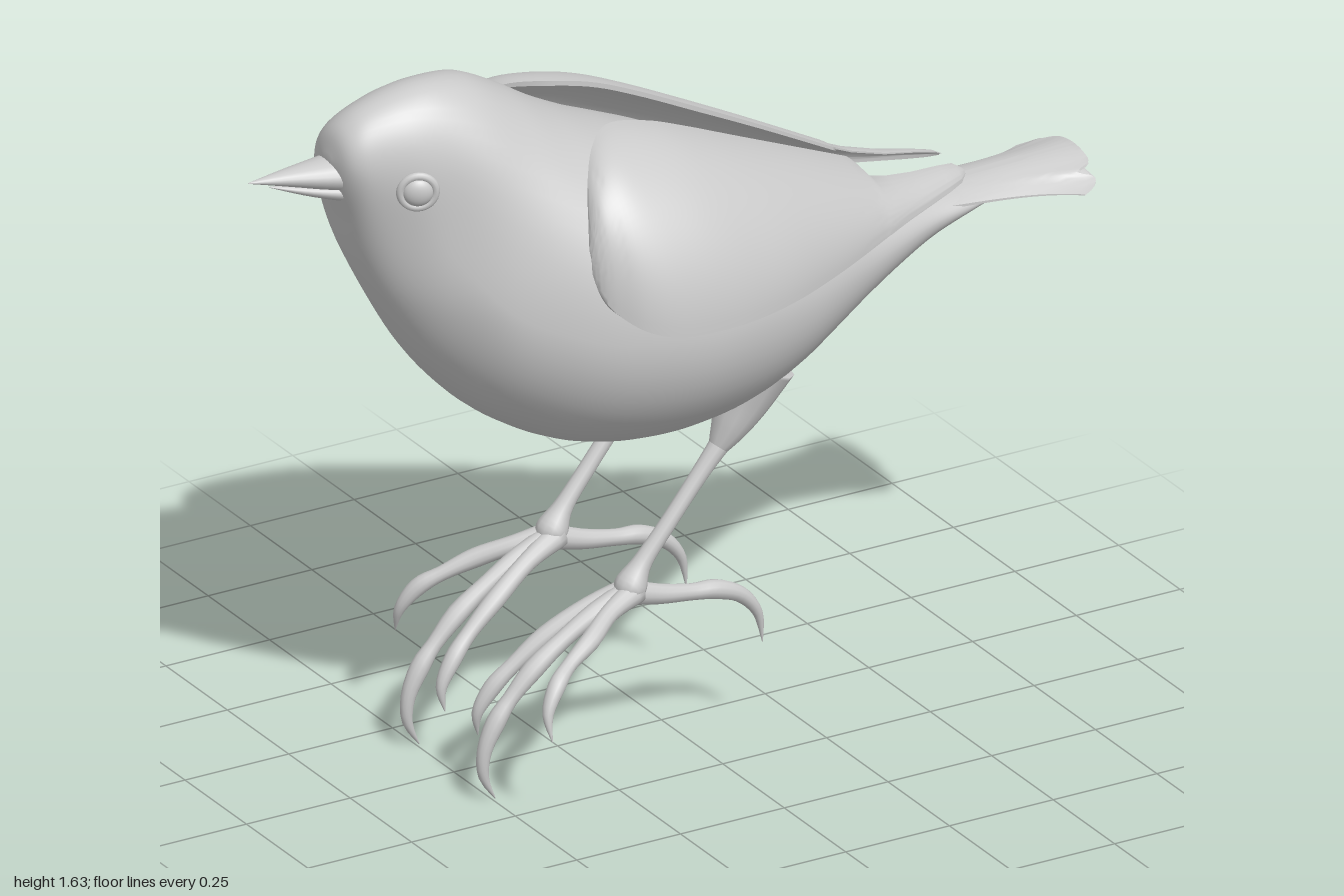
import * as THREE from 'three';
import { toCreasedNormals } from 'three/addons/utils/BufferGeometryUtils.js';

const material = new THREE.MeshStandardMaterial({ color: 0xcccccc });

// Resample a table of rows with a smooth curve through every column
function smooth(rows, n) {
  const cols = rows[0].map((_, k) =>
    new THREE.SplineCurve(rows.map((r, i) => new THREE.Vector2(i, r[k]))));
  return Array.from({ length: n + 1 }, (_, i) => cols.map((c) => c.getPoint(i / n).y));
}

// Skin closed rings of [x, y, z] points and cap both ends
function loft(rings) {
  const n = rings[0].length, last = rings.length - 1, index = [];
  const center = (ring) => [0, 1, 2].map((k) => ring.reduce((s, p) => s + p[k], 0) / n);
  const points = [...rings.flat(), center(rings[0]), center(rings[last])];
  const c0 = points.length - 2, c1 = c0 + 1;
  for (let j = 0; j < n; j++) {
    const k = (j + 1) % n;
    for (let i = 0; i < last; i++) {
      const a = i * n + j, b = i * n + k;
      index.push(a, b, a + n, b, b + n, a + n);
    }
    index.push(c0, k, j, c1, last * n + j, last * n + k);
  }
  const g = new THREE.BufferGeometry();
  g.setAttribute('position', new THREE.Float32BufferAttribute(points.flat(), 3));
  g.setIndex(index);
  g.computeVertexNormals();
  return g;
}

const mirrorRings = (rings) => rings.map((r) => r.map(([x, y, z]) => [x, y, -z]).reverse());

// Rings of a round limb along rows of [x, y, z, radius]
function limbRings(rows, n = 24, sides = 12) {
  const s = smooth(rows, n);
  const pos = s.map((r) => new THREE.Vector3(r[0], r[1], r[2]));
  return s.map((r, i) => {
    const t = pos[Math.min(i + 1, n)].clone().sub(pos[Math.max(i - 1, 0)]).normalize();
    const a = new THREE.Vector3(0, 0, 1).addScaledVector(t, -t.z).normalize();
    const b = t.clone().cross(a);
    return Array.from({ length: sides }, (_, j) => {
      const q = (j / sides) * Math.PI * 2, rad = Math.max(r[3], 0.001);
      return pos[i].clone().addScaledVector(a, rad * Math.cos(q))
        .addScaledVector(b, rad * Math.sin(q)).toArray();
    });
  });
}

// Head and trunk: x, top, bottom, half width, height of widest point
function bodyRings() {
  const rows = [
    [-0.822, 1.505, 1.485, 0.015, 1.495], [-0.812, 1.55, 1.425, 0.06, 1.49],
    [-0.79, 1.58, 1.355, 0.09, 1.47], [-0.75, 1.605, 1.24, 0.115, 1.43],
    [-0.68, 1.627, 1.1, 0.148, 1.38], [-0.6, 1.635, 0.975, 0.19, 1.27],
    [-0.5, 1.615, 0.865, 0.255, 1.15], [-0.4, 1.56, 0.792, 0.305, 1.1],
    [-0.3, 1.495, 0.745, 0.345, 1.07], [-0.2, 1.44, 0.722, 0.37, 1.06],
    [-0.1, 1.395, 0.717, 0.38, 1.05], [0, 1.35, 0.725, 0.375, 1.05],
    [0.1, 1.3, 0.747, 0.35, 1.04], [0.2, 1.25, 0.787, 0.31, 1.03],
    [0.3, 1.2, 0.84, 0.26, 1.03], [0.4, 1.15, 0.892, 0.205, 1.03],
    [0.5, 1.115, 0.938, 0.155, 1.035], [0.6, 1.09, 0.978, 0.11, 1.04],
    [0.7, 1.078, 1.015, 0.085, 1.045], [0.8, 1.072, 1.045, 0.06, 1.055],
  ];
  return smooth(rows, 90).map(([x, top, bottom, w, mid]) =>
    Array.from({ length: 56 }, (_, j) => {
      const q = (j / 56) * Math.PI * 2, c = Math.cos(q);
      let y = mid + c * (c > 0 ? top - mid : mid - bottom), z = w * Math.sin(q);
      // the head leans slightly to one side
      const lean = THREE.MathUtils.smoothstep(-x, 0.3, 0.62) * THREE.MathUtils.smoothstep(y, 1.15, 1.5);
      z += lean * (0.015 + 0.2 * (y - 1.45));
      return [x, y, z];
    }));
}

// Folded wing shell: x, top y, inner z, bottom y, outer z
function wingRings() {
  const shoulder = smooth([
    [-0.357, 1.29, 0.31, 1.24, 0.325], [-0.345, 1.35, 0.285, 1.19, 0.35],
    [-0.32, 1.41, 0.24, 1.155, 0.375], [-0.27, 1.455, 0.175, 1.12, 0.408],
    [-0.2, 1.467, 0.12, 1.1, 0.427], [-0.1, 1.445, 0.108, 1.093, 0.427],
    [0, 1.405, 0.1, 1.09, 0.41], [0.12, 1.35, 0.085, 1.09, 0.37],
    [0.27, 1.28, 0.06, 1.09, 0.295], [0.43, 1.203, 0.025, 1.093, 0.205],
  ], 44);
  const feathers = [
    [0.437, 1.198, 0.03, 1.093, 0.202], [0.45, 1.178, 0.085, 1.094, 0.195],
    [0.5, 1.16, 0.07, 1.096, 0.168], [0.57, 1.145, 0.053, 1.098, 0.133],
    [0.64, 1.137, 0.04, 1.1, 0.098], [0.68, 1.13, 0.032, 1.103, 0.076],
    [0.7, 1.118, 0.04, 1.11, 0.055],
  ];
  const n = 24;
  return [...shoulder, ...feathers].map(([x, top, zi, bottom, zo]) => {
    const thick = Math.min(0.045, (zo - zi) * 0.16);
    const arc = (i, d) => {
      const q = (i / n) * Math.PI / 2;
      return [x, bottom + (top - bottom) * Math.cos(q) - d * Math.cos(q),
        zi + (zo - zi) * Math.sin(q) - d * Math.sin(q)];
    };
    const ring = [];
    for (let i = 0; i <= n; i++) ring.push(arc(i, 0));
    for (let i = n; i >= 0; i--) ring.push(arc(i, thick * (0.25 + 0.75 * i / n)));
    return ring;
  });
}

// Arched tail fan with a scalloped end
function tailRings() {
  const n = 40, rings = [];
  for (let i = 0; i <= 20; i++) {
    const s = i / 20, w = 0.085 + 0.01 * s + 0.045 * s ** 4, ring = [];
    const point = (k, under) => {
      const u = (k / n) * 2 - 1, a = Math.abs(u);
      const end = 0.993 - 0.04 * Math.exp(-(((a - 0.65) / 0.09) ** 2)) - 0.045 * a ** 10 - 0.01 * a * a;
      const thick = (0.022 - 0.014 * s) * (1 - 0.7 * a * a);
      return [0.62 + (end - 0.62) * s,
        1.078 + 0.012 * s - (0.015 + 0.035 * s) * u * u - (under ? thick : 0), w * u];
    };
    for (let k = 0; k <= n; k++) ring.push(point(k, false));
    for (let k = n; k >= 0; k--) ring.push(point(k, true));
    rings.push(ring);
  }
  return rings;
}

// Tapered half of the beak: x, y, z, half height, half width
function beakRings(rows) {
  return smooth(rows, 12).map(([x, y, z, h, w]) =>
    Array.from({ length: 20 }, (_, j) => {
      const q = (j / 20) * Math.PI * 2;
      return [x, y + h * Math.cos(q), z + w * Math.sin(q)];
    }));
}

const limbs = {
  thigh: [[0.13, 0.86, 0.165, 0.085], [0.1, 0.79, 0.165, 0.062], [0.07, 0.735, 0.165, 0.043],
    [0.045, 0.695, 0.164, 0.026], [0.03, 0.675, 0.164, 0.015]],
  shank: [[0.075, 0.73, 0.165, 0.026], [0, 0.64, 0.163, 0.019], [-0.08, 0.54, 0.162, 0.018],
    [-0.14, 0.465, 0.16, 0.021], [-0.17, 0.415, 0.16, 0.035], [-0.18, 0.385, 0.16, 0.016]],
  middleToe: [[-0.16, 0.405, 0.158, 0.028], [-0.25, 0.375, 0.157, 0.022], [-0.33, 0.33, 0.156, 0.019],
    [-0.4, 0.28, 0.156, 0.022], [-0.455, 0.225, 0.155, 0.017], [-0.49, 0.18, 0.155, 0.021],
    [-0.518, 0.12, 0.155, 0.016], [-0.52, 0.06, 0.155, 0.011], [-0.492, 0.005, 0.155, 0.001]],
  outerToe: [[-0.16, 0.405, 0.165, 0.028], [-0.24, 0.385, 0.195, 0.02], [-0.31, 0.355, 0.235, 0.021],
    [-0.375, 0.325, 0.26, 0.016], [-0.42, 0.295, 0.283, 0.019], [-0.452, 0.245, 0.302, 0.012],
    [-0.452, 0.19, 0.32, 0.001]],
  innerToe: [[-0.16, 0.405, 0.152, 0.028], [-0.25, 0.375, 0.125, 0.02], [-0.34, 0.32, 0.102, 0.021],
    [-0.41, 0.265, 0.09, 0.017], [-0.455, 0.22, 0.08, 0.019], [-0.487, 0.165, 0.073, 0.012],
    [-0.482, 0.112, 0.067, 0.001]],
  backToe: [[-0.18, 0.405, 0.158, 0.028], [-0.1, 0.38, 0.156, 0.022], [-0.02, 0.365, 0.155, 0.018],
    [0.04, 0.357, 0.155, 0.021], [0.1, 0.33, 0.155, 0.017], [0.14, 0.28, 0.155, 0.011],
    [0.152, 0.21, 0.155, 0.001]],
};

export function createModel() {
  const bird = new THREE.Group();
  bird.name = 'bird';
  const add = (name, geometry, parent = bird) => {
    const mesh = new THREE.Mesh(geometry, material);
    mesh.name = name;
    parent.add(mesh);
    return mesh;
  };

  add('body', loft(bodyRings()));
  add('tail', toCreasedNormals(loft(tailRings()), 0.8));
  add('upperBeak', loft(beakRings([[-0.76, 1.455, 0.02, 0.045, 0.065], [-0.82, 1.46, 0.018, 0.034, 0.052],
    [-0.91, 1.468, 0.012, 0.018, 0.026], [-1, 1.475, 0.008, 0.001, 0.001]].reverse())));
  add('lowerBeak', loft(beakRings([[-0.75, 1.415, 0.02, 0.03, 0.055], [-0.81, 1.423, 0.018, 0.022, 0.042],
    [-0.88, 1.437, 0.014, 0.012, 0.023], [-0.95, 1.455, 0.01, 0.001, 0.001]].reverse())));

  for (const side of [1, -1]) {
    const label = side > 0 ? 'left' : 'right';
    const place = (rings) => (side > 0 ? rings : mirrorRings(rings));
    add(label + 'Wing', toCreasedNormals(loft(place(wingRings())), 0.8));

    const leg = new THREE.Group();
    leg.name = label + 'Leg';
    for (const [name, rows] of Object.entries(limbs)) add(name, loft(place(limbRings(rows))), leg);
    bird.add(leg);

    // Eyeball set in a raised lid
    const eye = new THREE.Group();
    eye.name = label + 'Eye';
    add('eyeball', new THREE.SphereGeometry(0.033, 24, 16), eye).scale.z = 0.6;
    add('eyelid', new THREE.TorusGeometry(0.037, 0.009, 10, 32), eye);
    eye.position.set(-0.68, side > 0 ? 1.44 : 1.455, 0.012 + side * 0.146);
    eye.lookAt(-1.13, eye.position.y - side * 0.1, eye.position.z + side);
    bird.add(eye);
  }
  return bird;
}
